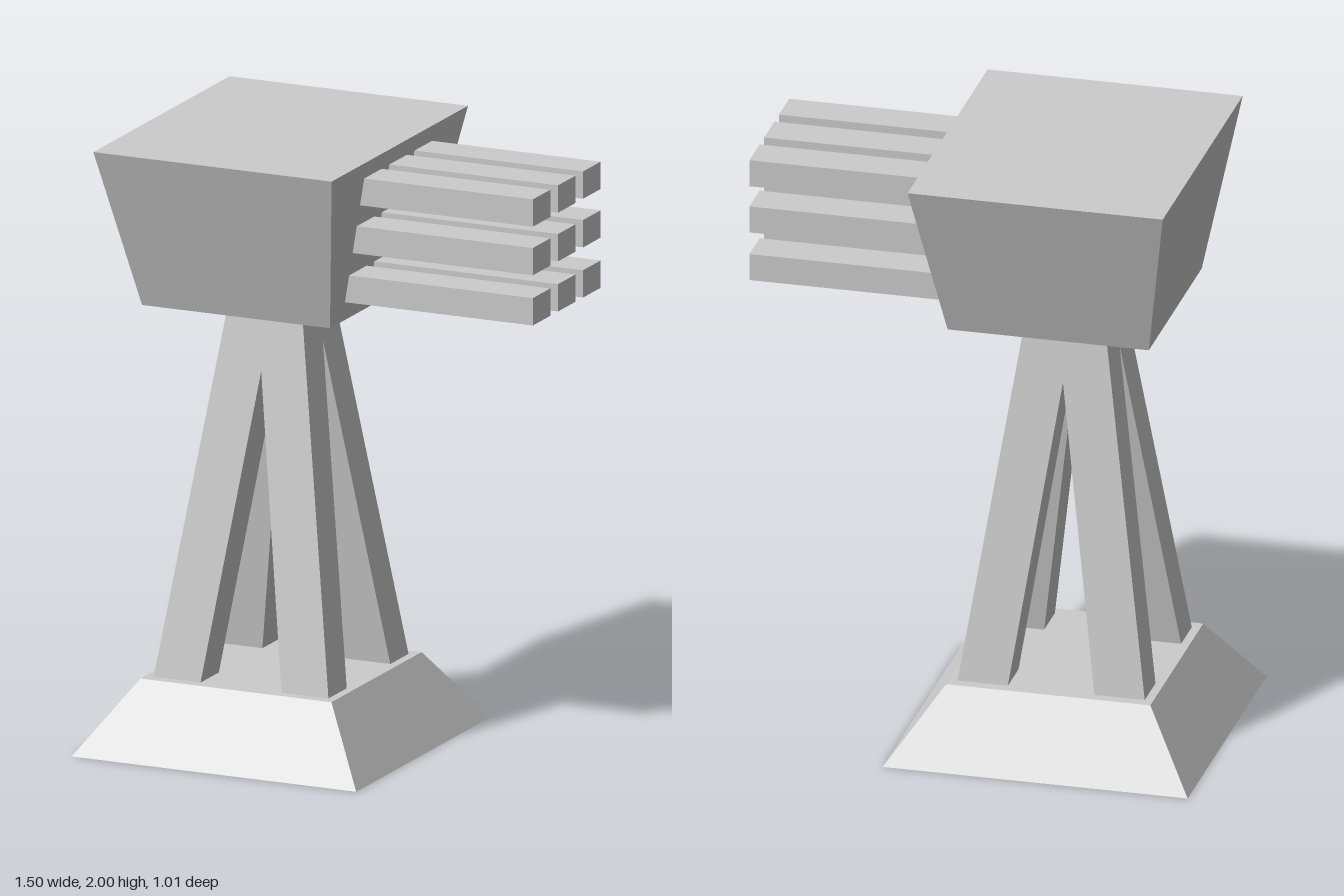
import * as THREE from 'three';

const material = new THREE.MeshStandardMaterial({ color: 0xcccccc, flatShading: true });

// Box lofted between two rectangles [x0, x1, z0, z1] at heights y0 and y1
function loft(name, y0, bottom, y1, top) {
  const geometry = new THREE.BoxGeometry(1, 1, 1).toNonIndexed();
  const p = geometry.attributes.position;
  for (let i = 0; i < p.count; i++) {
    const up = p.getY(i) > 0;
    const r = up ? top : bottom;
    p.setXYZ(i, p.getX(i) > 0 ? r[1] : r[0], up ? y1 : y0, p.getZ(i) > 0 ? r[3] : r[2]);
  }
  geometry.computeVertexNormals();
  const mesh = new THREE.Mesh(geometry, material);
  mesh.name = name;
  return mesh;
}

export function createModel() {
  const model = new THREE.Group();
  model.name = 'turretTower';
  const baseTop = 0.235, headBottom = 1.465, axisX = -0.25;

  // Sloped base and flared head
  model.add(loft('base', 0, [-0.75, 0.25, -0.5, 0.5], baseTop, [-0.585, 0.085, -0.335, 0.335]));
  model.add(loft('head', headBottom, [-0.58, 0.08, -0.335, 0.335], 2, [-0.67, 0.167, -0.507, 0.507]));

  // Four legs leaning in until they merge under the head
  const legs = new THREE.Group();
  legs.name = 'legs';
  const span = (c, s, inner, outer) => (s > 0 ? [c + inner, c + outer] : [c - outer, c - inner]);
  for (const sx of [-1, 1]) {
    for (const sz of [-1, 1]) {
      legs.add(loft('leg',
        baseTop, [...span(axisX, sx, 0.142, 0.307), ...span(0, sz, 0.162, 0.298)],
        headBottom, [...span(axisX, sx, -0.032, 0.126), ...span(0, sz, -0.021, 0.114)]));
    }
  }
  model.add(legs);

  // Three by three block of square barrels
  const barrels = new THREE.Group();
  barrels.name = 'barrels';
  const start = 0.04, end = 0.75;
  for (const y of [1.575, 1.74, 1.9]) {
    for (const z of [-0.193, -0.006, 0.181]) {
      const barrel = new THREE.Mesh(new THREE.BoxGeometry(end - start, 0.09, 0.13), material);
      barrel.name = 'barrel';
      barrel.position.set((start + end) / 2, y, z);
      barrels.add(barrel);
    }
  }
  model.add(barrels);
  return model;
}
